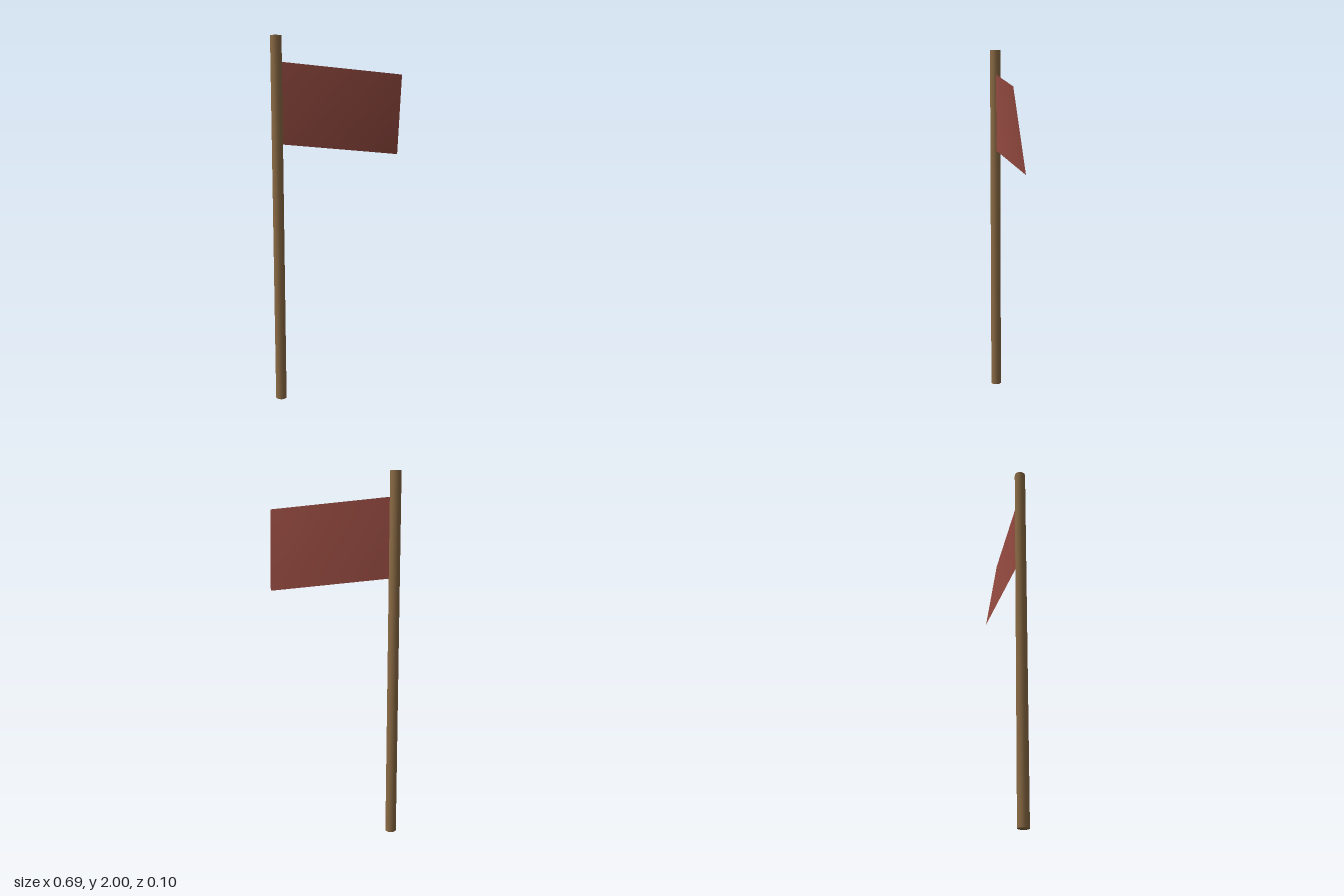
import * as THREE from 'three';

export function createModel() {
  const group = new THREE.Group();
  const poleX = -0.317, poleZ = -0.019;

  // Wooden pole
  const pole = new THREE.Mesh(
    new THREE.CylinderGeometry(0.03, 0.03, 2, 12),
    new THREE.MeshStandardMaterial({ color: 0x8b6b45 })
  );
  pole.name = 'pole';
  pole.position.set(poleX, 1, poleZ);
  group.add(pole);

  // Flag cloth: sags toward the fly end, whose top corner twists forward
  const length = 0.664, height = 0.43, sag = 0.067, twist = 0.066;
  const cloth = new THREE.PlaneGeometry(length, height, 8, 6);
  const pos = cloth.attributes.position;
  for (let i = 0; i < pos.count; i++) {
    const u = pos.getX(i) / length + 0.5;
    const v = pos.getY(i) / height + 0.5;
    pos.setXYZ(i, u * length, v * height - sag * u, twist * u * v);
  }
  cloth.computeVertexNormals();
  const flag = new THREE.Mesh(
    cloth,
    new THREE.MeshStandardMaterial({ color: 0x944a40, side: THREE.DoubleSide })
  );
  flag.name = 'flag';
  flag.position.set(poleX, 1.438, poleZ);
  group.add(flag);

  return group;
}
